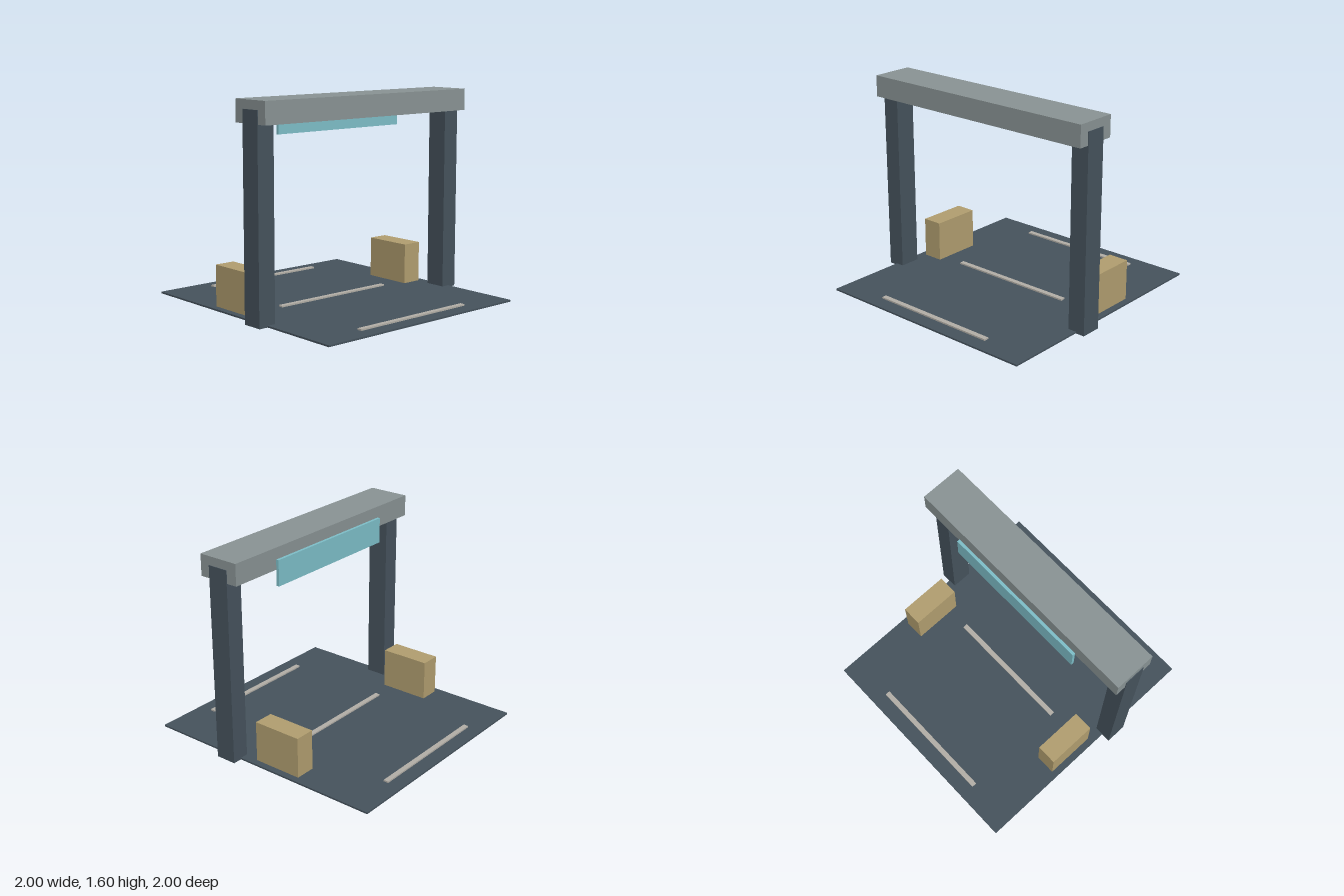
import * as THREE from 'three';

const mat = (name, color) => Object.assign(new THREE.MeshStandardMaterial({ color }), { name });

export function createModel() {
  const group = new THREE.Group();
  const slate = mat('slate', 0x46535d);
  const grey = mat('beam grey', 0x8a9495);
  const sand = mat('sand', 0xb29f70);
  const glass = mat('pale teal', 0x7ebfc9);
  const stripe = mat('stripe grey', 0xb3afa7);

  // Box given by its extents on each axis
  const box = (name, material, [x0, x1], [y0, y1], [z0, z1]) => {
    const mesh = new THREE.Mesh(new THREE.BoxGeometry(x1 - x0, y1 - y0, z1 - z0), material);
    mesh.position.set((x0 + x1) / 2, (y0 + y1) / 2, (z0 + z1) / 2);
    mesh.name = name;
    group.add(mesh);
  };

  // Floor slab with three raised cross strips
  box('floor', slate, [-0.927, 0.927], [0, 0.013], [-1, 1]);
  ['backStrip', 'middleStrip', 'frontStrip'].forEach((name, i) => {
    const z = (i - 1) * 0.865;
    box(name, stripe, [-0.528, 0.528], [0.013, 0.025], [z - 0.02, z + 0.02]);
  });

  // Posts and side blocks, mirrored left and right
  for (const [side, s] of [['left', 1], ['right', -1]]) {
    const span = (a, b) => (s > 0 ? [a, b] : [-b, -a]);
    box(side + 'Post', slate, span(0.86, 1), [0, 1.53], [0.183, 0.35]);
    box(side + 'Block', sand, span(0.713, 0.875), [0.001, 0.333], [-0.333, 0.067]);
  }

  // Overhead beam and the sign panel behind it
  box('beam', grey, [-0.995, 0.995], [1.43, 1.597], [0.098, 0.431]);
  box('signPanel', glass, [-0.598, 0.598], [1.317, 1.517], [0.057, 0.08]);

  return group;
}
